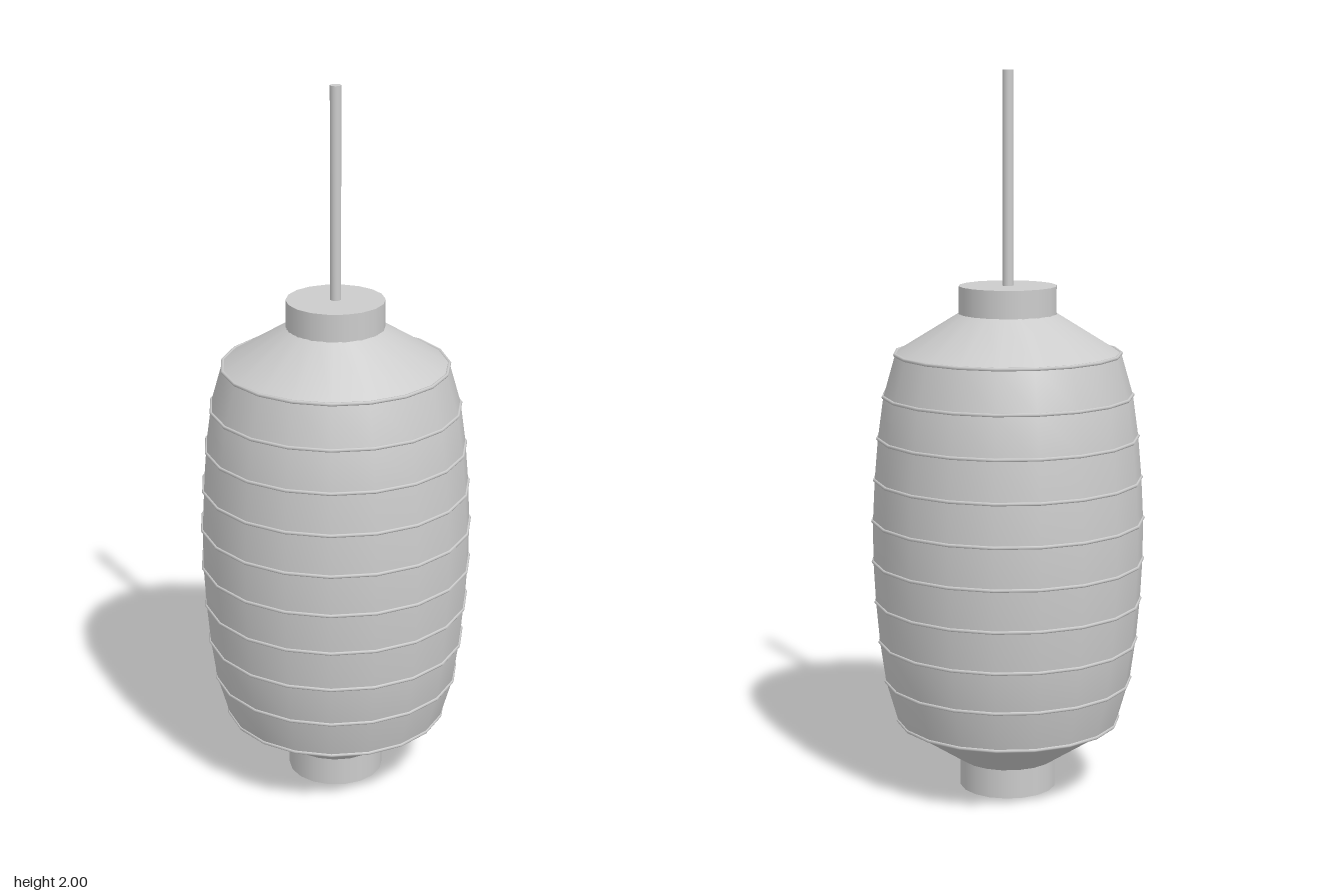
import * as THREE from 'three';

const SIDES = 19;
const START = Math.PI / 2; // puts a corner on +x

export function createModel() {
  const lantern = new THREE.Group();
  lantern.name = 'paperLantern';
  const grey = new THREE.MeshStandardMaterial({ color: 0xcccccc });
  const thin = new THREE.MeshStandardMaterial({ color: 0xcccccc, side: THREE.DoubleSide });

  const add = (name, geometry, material = grey, y = 0) => {
    const mesh = new THREE.Mesh(geometry, material);
    mesh.name = name;
    mesh.position.set(-0.003, y, 0);
    lantern.add(mesh);
    return mesh;
  };
  const lathe = (points) => new THREE.LatheGeometry(
    points.map(([r, y]) => new THREE.Vector2(r, y)), SIDES, START);
  const disc = (r, h, sides) => new THREE.CylinderGeometry(r, r, h, sides, 1, false, START);

  // Rib radii from the middle outwards, mirrored to give the barrel profile
  const half = [0.376, 0.37, 0.36, 0.344, 0.311];
  const radii = [...half].reverse().concat(half);
  const bottom = 0.198, step = 0.1152;
  const ribs = radii.map((r, i) => [r, bottom + i * step]);
  const top = ribs[ribs.length - 1];

  // Paper shade: barrel and two sloping shoulders
  add('shade', lathe(ribs), thin);
  add('lowerShoulder', lathe([[0.135, 0.082], ribs[0]]), thin);
  add('upperShoulder', lathe([top, [0.135, 1.344]]), thin);

  // Thin hoops around the shade
  for (const [r, y] of ribs) {
    const hoop = new THREE.TorusGeometry(r, 0.005, 6, SIDES);
    hoop.rotateX(Math.PI / 2);
    add('hoop', hoop, grey, y);
  }

  // End collars and hanging cord
  add('lowerCollar', disc(0.135, 0.084, 18), grey, 0.042);
  add('upperCollar', disc(0.135, 0.08, 18), grey, 1.38);
  add('cord', disc(0.015, 0.6, 16), grey, 1.7);

  return lantern;
}
